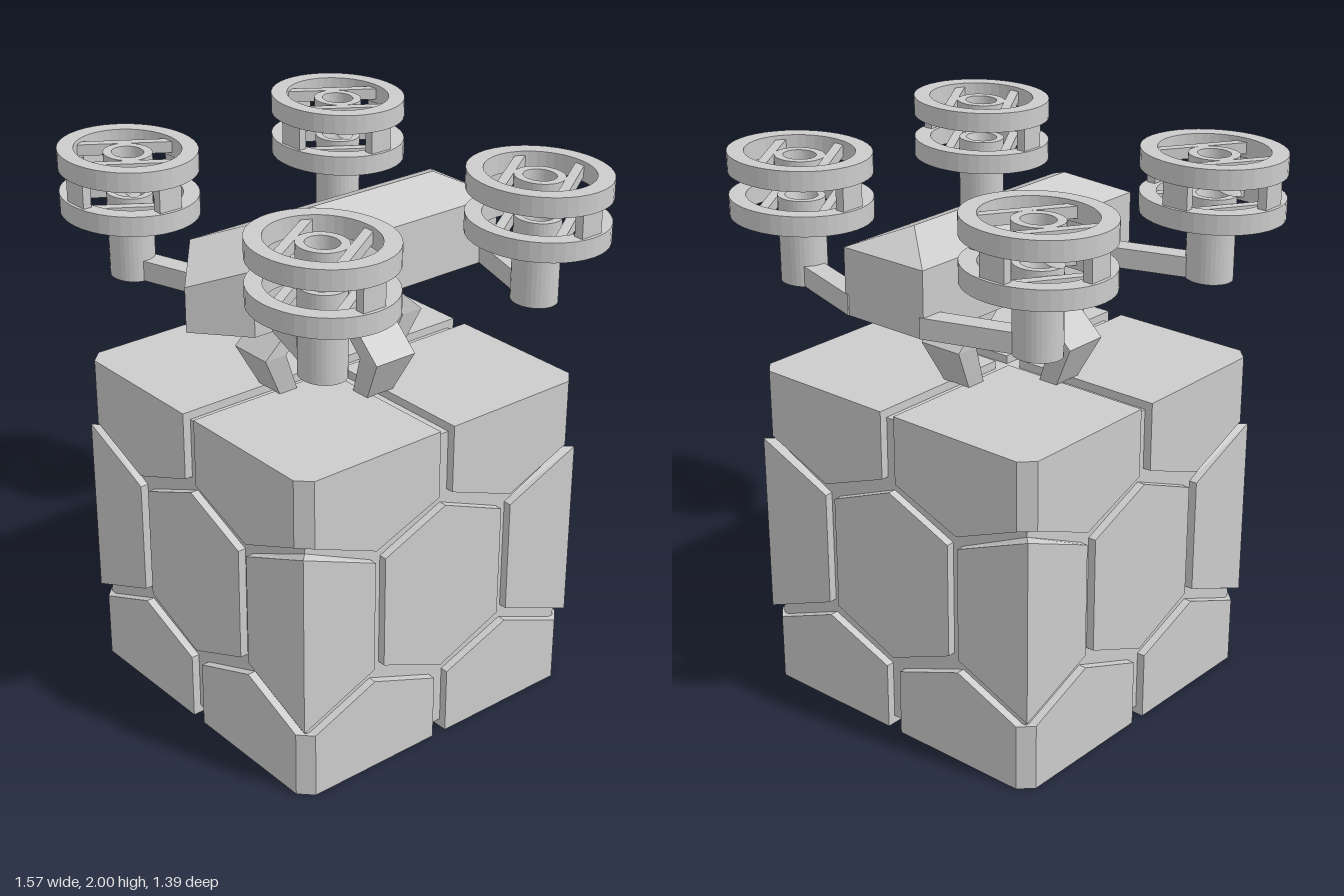
import * as THREE from 'three';
import { ConvexGeometry } from 'three/addons/geometries/ConvexGeometry.js';

const mat = new THREE.MeshStandardMaterial({ color: 0xcccccc, flatShading: true });
const H = 0.615, T = 0.03; // half size of the crate, thickness of its plates
const signs = [-1, 1];

function add(parent, name, geo, x = 0, y = 0, z = 0) {
  const m = new THREE.Mesh(geo, mat);
  m.name = name;
  m.position.set(x, y, z);
  parent.add(m);
  return m;
}
const shapeOf = pts => new THREE.Shape(pts.map(p => new THREE.Vector2(p[0], p[1])));
const lathe = (pts, n = 32) => new THREE.LatheGeometry(pts.map(p => new THREE.Vector2(p[0], p[1])), n);

// Plate lying on the +z face of the crate, mitred where it meets the crate's edges
function plate(pts, sx = 1, sy = 1) {
  const g = new THREE.ExtrudeGeometry(shapeOf(pts.map(p => [p[0] * sx, p[1] * sy])), { depth: T, bevelEnabled: false });
  g.translate(0, 0, H - T);
  const p = g.attributes.position;
  const mitre = v => Math.abs(v) > H - 0.005 ? Math.sign(v) * (H - T) : v;
  for (let i = 0; i < p.count; i++) {
    if (p.getZ(i) < H - T / 2) p.setXY(i, mitre(p.getX(i)), mitre(p.getY(i)));
  }
  g.computeVertexNormals();
  return g;
}

function crate() {
  const crate = new THREE.Group();
  crate.name = 'crate';
  crate.position.y = H;
  const core = 2 * (H - T);
  add(crate, 'crateCore', new THREE.BoxGeometry(core, core, core));
  const hex = [[0, 0.325], [0.265, 0.215], [0.265, -0.21], [0, -0.32], [-0.265, -0.21], [-0.265, 0.215]];
  const wrap = [[0.308, 0.215], [H, 0.343], [H, -0.335], [0.308, -0.21]];
  const rim = [[0.03, H], [0.03, 0.365], [0.305, 0.26], [0.567, 0.367], [0.567, H]];
  const lid = [[0.03, 0.03], [H, 0.03], [H, 0.567], [0.567, H], [0.03, H]];
  // Four sides
  for (let k = 0; k < 4; k++) {
    const side = new THREE.Group();
    side.name = 'crateSide';
    side.rotation.y = k * Math.PI / 2;
    add(side, 'hexPlate', plate(hex));
    for (const sx of signs) {
      add(side, 'cornerPlate', plate(wrap, sx));
      for (const sy of signs) add(side, 'rimPlate', plate(rim, sx, sy));
    }
    // Chamfered uprights between the rim plates
    for (const sy of signs) {
      const g = new THREE.ExtrudeGeometry(shapeOf([[0.567, -0.567], [H, -0.567], [0.567, -H]]), { depth: H - 0.367, bevelEnabled: false });
      g.rotateX(-Math.PI / 2);
      add(side, 'cornerChamfer', g, 0, sy > 0 ? 0.367 : -H, 0);
    }
    crate.add(side);
  }
  // Top and bottom quarters
  for (const dir of signs) {
    const end = new THREE.Group();
    end.name = dir > 0 ? 'crateTop' : 'crateBottom';
    end.rotation.x = -dir * Math.PI / 2;
    for (const sx of signs) for (const sy of signs) add(end, 'quarterPlate', plate(lid, sx, sy));
    crate.add(end);
  }
  return crate;
}

// Bent gripper finger reaching out along +x, narrowing to its tip
function clawGeometry() {
  const g = new THREE.ExtrudeGeometry(shapeOf([
    [0.09, 1.55], [0.17, 1.55], [0.35, 1.385], [0.27, 1.23], [0.195, 1.23], [0.262, 1.385],
  ]), { depth: 0.17, bevelEnabled: false });
  g.translate(0, 0, -0.085);
  const p = g.attributes.position;
  for (let i = 0; i < p.count; i++) if (p.getY(i) < 1.3) p.setZ(i, p.getZ(i) * 0.68);
  g.computeVertexNormals();
  return g;
}

// Ducted rotor on its post; sx is the side of the model it sits on
function rotor(sx) {
  const r = new THREE.Group();
  r.name = 'rotor';
  r.scale.z = 0.885;
  add(r, 'rotorPost', lathe([[0, 1.54], [0.087, 1.54], [0.087, 1.845], [0.06, 1.845], [0, 1.6]]));
  const ring = (a, b, y0, y1) => lathe([[a, y0], [b, y0], [b, y1], [a, y1], [a, y0]], 40);
  const angle = sx < 0 ? Math.PI / 3 : 2 * Math.PI / 3;
  for (const y of [1.775, 1.93]) {
    add(r, 'ductRing', ring(0.2, 0.262, y, y + 0.07));
    // Two parallel guard bars beside the hub
    const guard = new THREE.Group();
    guard.name = 'guard';
    guard.rotation.y = angle;
    for (const s of signs) add(guard, 'guardBar', new THREE.BoxGeometry(0.36, 0.04, 0.035), 0, y + 0.035, s * 0.108);
    r.add(guard);
  }
  add(r, 'hubRing', ring(0.06, 0.092, 1.935, 1.985));
  // Struts joining the two rings
  const count = sx < 0 ? 4 : 2;
  for (let k = 0; k < count; k++) {
    const strut = new THREE.Group();
    strut.name = 'ductStrut';
    strut.rotation.y = k * 2 * Math.PI / count;
    add(strut, 'strut', new THREE.BoxGeometry(0.035, 0.1, 0.1), 0.23, 1.888, 0);
    r.add(strut);
  }
  // Propeller
  const prop = new THREE.Group();
  prop.name = 'propeller';
  prop.rotation.y = angle + Math.PI / 2;
  for (const s of signs) {
    const blade = add(prop, 'blade', new THREE.SphereGeometry(0.1, 12, 6), s * 0.095, 1.888, 0);
    blade.scale.set(1, 0.04, 0.32);
    blade.rotation.x = s * 0.2;
  }
  r.add(prop);
  return r;
}

export function createModel() {
  const model = new THREE.Group();
  model.name = 'cargoDrone';
  model.add(crate());

  // Gripper
  for (let k = 0; k < 4; k++) {
    add(model, 'claw', clawGeometry()).rotation.y = k * Math.PI / 2;
  }

  // Wedge-nosed body with a ridged roof
  const pts = [[0, 1.54, 0.61], [0, 1.7, 0.61], [0, 1.85, 0.305], [0, 1.85, -0.465]];
  for (const s of signs) for (const z of [0.46, -0.615]) for (const y of [1.54, 1.775]) pts.push([s * 0.175, y, z]);
  add(model, 'body', new ConvexGeometry(pts.map(p => new THREE.Vector3(...p))));

  // Arms and rotors
  for (const sx of signs) {
    for (const z of [0.46, -0.465]) {
      const r = rotor(sx);
      r.position.set(sx * 0.525, 0, z);
      model.add(r);
      const arm = add(model, 'arm', new THREE.BoxGeometry(0.4, 0.073, 0.075), sx * 0.34, 1.578, z - 0.058);
      arm.rotation.y = -sx * 0.31;
    }
  }
  return model;
}
